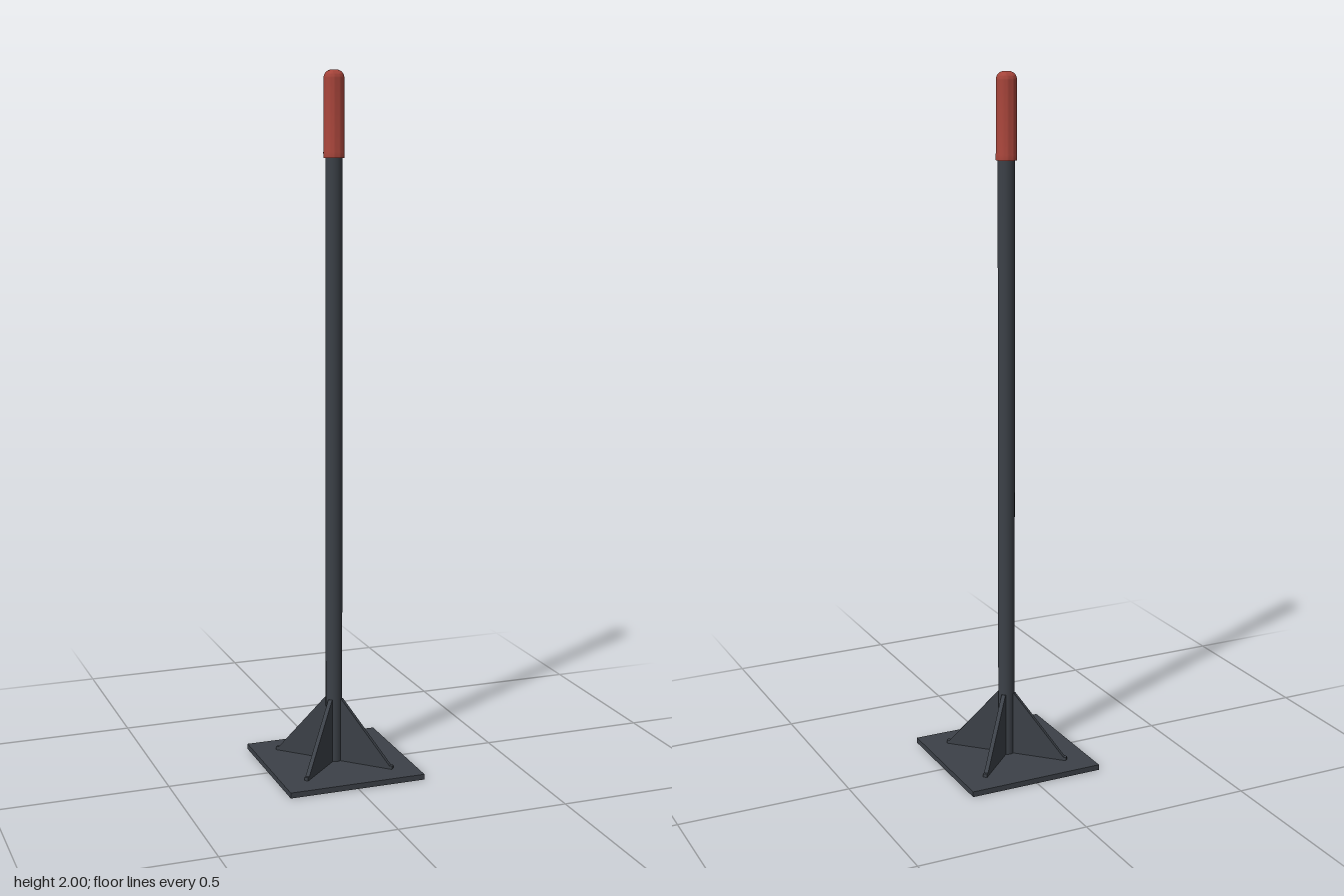
import * as THREE from 'three';
import { toCreasedNormals } from 'three/addons/utils/BufferGeometryUtils.js';

export function createModel() {
  const model = new THREE.Group();
  const steel = new THREE.MeshStandardMaterial({ name: 'dark steel', color: 0x3c4148 });
  const red = new THREE.MeshStandardMaterial({ name: 'red rubber', color: 0xa5443a });

  const add = (name, geometry, material, y = 0) => {
    const mesh = new THREE.Mesh(geometry, material);
    mesh.name = name;
    mesh.position.y = y;
    model.add(mesh);
    return mesh;
  };

  // Square foot plate
  const plateTop = 0.016;
  add('basePlate', new THREE.BoxGeometry(0.405, plateTop, 0.405), steel, plateTop / 2);

  // Upright pole, running up into the grip
  const poleTop = 1.9;
  add('pole', new THREE.CylinderGeometry(0.024, 0.024, poleTop - 0.01, 32), steel, (poleTop + 0.01) / 2);

  // Four diagonal gussets with blunt toes
  const profile = new THREE.Shape([
    [0.01, 0.012], [0.187, 0.012], [0.187, 0.026], [0.179, 0.026], [0.026, 0.205], [0.01, 0.205],
  ].map(([x, y]) => new THREE.Vector2(x, y)));
  const thickness = 0.012;
  const gusset = new THREE.ExtrudeGeometry(profile, { depth: thickness, bevelEnabled: false });
  gusset.translate(0, 0, -thickness / 2);
  for (let i = 0; i < 4; i++) {
    add('gusset' + (i + 1), gusset, steel).rotation.y = Math.PI / 4 + i * Math.PI / 2;
  }

  // Rounded grip with a slight lip at its lower edge
  const r = 0.0285, round = 0.022;
  const points = [[0, 1.762], [0.0295, 1.762], [0.0295, 1.778], [r, 1.781]];
  for (let i = 0; i <= 8; i++) {
    const a = (i / 8) * Math.PI / 2;
    points.push([r - round + round * Math.cos(a), 2 - round + round * Math.sin(a)]);
  }
  points.push([0, 2]);
  const grip = new THREE.LatheGeometry(points.map(([x, y]) => new THREE.Vector2(x, y)), 32);
  add('grip', toCreasedNormals(grip, 0.6), red);

  return model;
}
